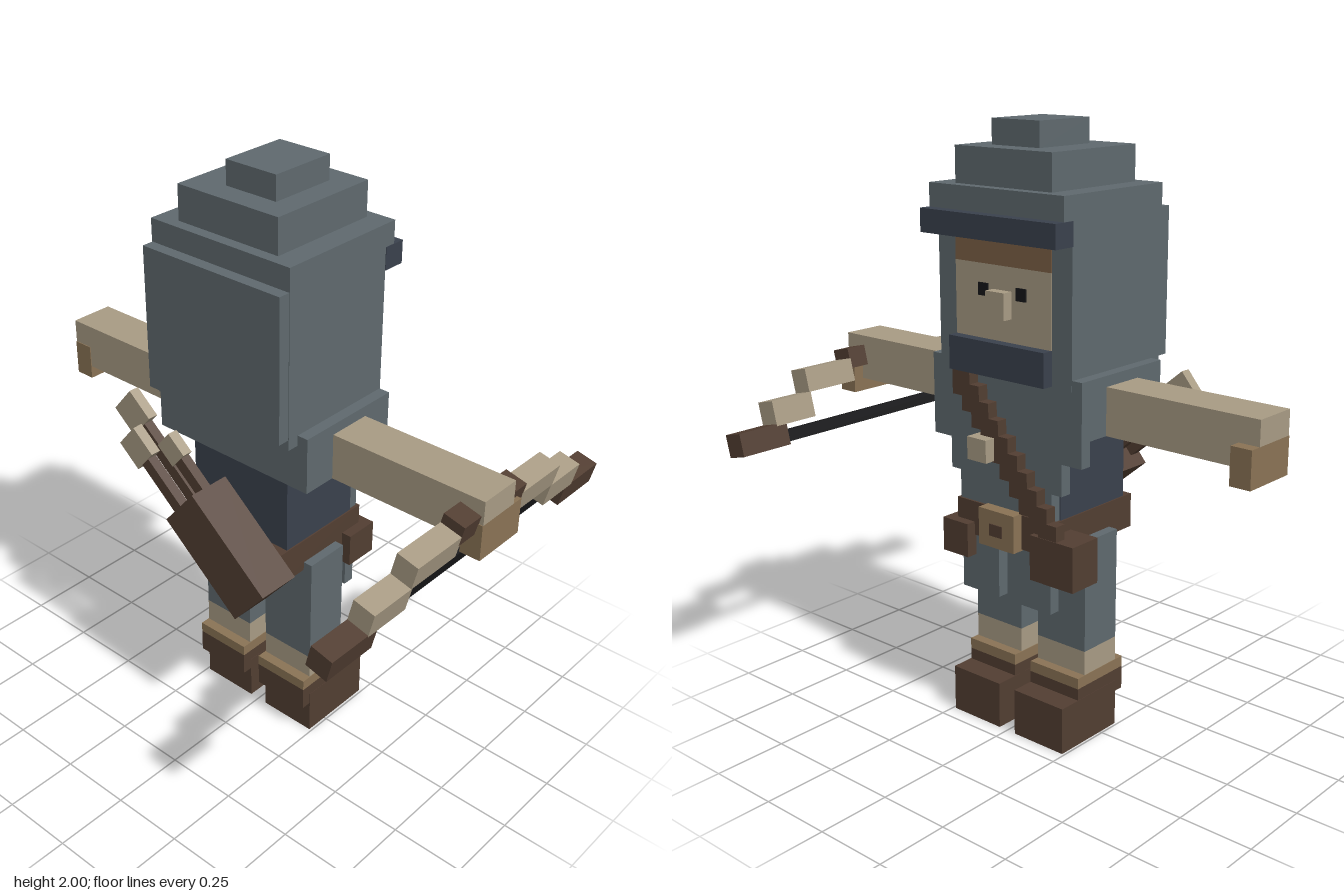
import * as THREE from 'three';

const mat = (name, color) => {
  const m = new THREE.MeshStandardMaterial({ color });
  m.name = name;
  return m;
};

export function createModel() {
  const model = new THREE.Group();
  model.name = 'hoodedArcher';
  const grey = mat('greyCloth', 0x5f696e);
  const navy = mat('navyCloth', 0x3a414d);
  const tan = mat('paleTan', 0xa89b84);
  const brown = mat('brownLeather', 0x523e32);
  const glove = mat('gloveLeather', 0x8a7355);
  const hair = mat('hairBrown', 0x7c6046);
  const black = mat('black', 0x161618);

  // Box given by its minimum and maximum on each axis
  const box = (name, m, x0, x1, y0, y1, z0, z1, parent = model) => {
    const mesh = new THREE.Mesh(new THREE.BoxGeometry(x1 - x0, y1 - y0, z1 - z0), m);
    mesh.position.set((x0 + x1) / 2, (y0 + y1) / 2, (z0 + z1) / 2);
    mesh.name = name;
    parent.add(mesh);
    return mesh;
  };
  // Same box on both sides of the body
  const pair = (name, m, x0, x1, ...r) => {
    box(name + 'Left', m, x0, x1, ...r);
    box(name + 'Right', m, -x1, -x0, ...r);
  };

  // Legs and boots
  pair('trouserLeg', grey, 0.037, 0.238, 0.32, 0.7, -0.08, 0.08);
  pair('sock', tan, 0.037, 0.238, 0.235, 0.32, -0.08, 0.08);
  pair('bootTrim', glove, 0.035, 0.24, 0.2, 0.237, -0.115, 0.115);
  pair('bootCuff', brown, 0.035, 0.24, 0.12, 0.2, -0.115, 0.115);
  pair('bootFoot', brown, 0.034, 0.241, 0, 0.16, -0.195, 0.08);

  // Torso, belt and tunic
  box('torso', navy, -0.2, 0.2, 0.68, 1.22, -0.158, 0.158);
  box('belt', brown, -0.205, 0.205, 0.67, 0.785, -0.202, 0.195);
  box('mantle', grey, -0.313, 0.31, 1.065, 1.255, -0.195, 0.195);
  box('tunicFlapUpper', grey, -0.313, 0.31, 0.985, 1.07, -0.195, -0.155);
  box('tunicFlapMiddle', grey, -0.235, 0.235, 0.88, 0.985, -0.195, -0.155);
  box('tunicFlapLower', grey, -0.195, 0.195, 0.7, 0.88, -0.195, -0.155);
  pair('tunicTail', grey, 0.03, 0.19, 0.475, 0.7, -0.195, -0.155);

  // Belt buckle and pouches
  box('buckle', glove, -0.075, 0.075, 0.665, 0.79, -0.24, -0.195);
  box('buckleHole', brown, -0.027, 0.027, 0.705, 0.745, -0.244, -0.239);
  box('pouchRight', brown, -0.315, -0.14, 0.595, 0.745, -0.236, -0.115);
  box('pouchLeft', brown, 0.13, 0.24, 0.6, 0.715, -0.236, -0.115);

  // Stepped chest strap with a small pocket
  const steps = 10;
  for (let i = 0; i < steps; i++) {
    const t = i / (steps - 1);
    const x = 0.15 - 0.36 * t, y = 1.19 - 0.44 * t;
    box('strapStep', brown, x - 0.037, x + 0.037, y - 0.045, y + 0.045, -0.234, -0.194);
  }
  box('strapPocket', tan, 0.01, 0.09, 0.955, 1.03, -0.272, -0.2);

  // Hood
  box('hood', grey, -0.275, 0.272, 1.22, 1.805, -0.197, 0.235);
  box('hoodFrontTop', grey, -0.275, 0.272, 1.73, 1.805, -0.235, -0.197);
  box('hoodBack', grey, -0.273, 0.27, 1.255, 1.73, 0.235, 0.275);
  box('hoodTier', grey, -0.197, 0.195, 1.805, 1.92, -0.197, 0.197);
  box('hoodPeak', grey, -0.08, 0.114, 1.92, 2, -0.118, 0.115);
  box('hoodBrim', navy, -0.277, 0.274, 1.655, 1.73, -0.275, -0.196);

  // Face
  box('face', tan, -0.197, 0.197, 1.255, 1.57, -0.2, -0.195);
  box('hair', hair, -0.197, 0.197, 1.57, 1.73, -0.2, -0.195);
  box('scarf', navy, -0.197, 0.197, 1.225, 1.335, -0.236, -0.196);
  box('nose', tan, -0.038, 0.038, 1.41, 1.495, -0.236, -0.197);
  pair('eye', black, 0.058, 0.098, 1.47, 1.51, -0.205, -0.199);

  // Arms and gloved hands
  pair('sleeve', tan, 0.3, 0.79, 1.065, 1.22, -0.078, 0.075);
  pair('cuff', tan, 0.79, 0.861, 1.14, 1.22, -0.078, 0.075);
  pair('hand', glove, 0.79, 0.861, 1.02, 1.14, -0.118, 0.078);

  // Tilted bow, built from one corner of its lower edge
  const bow = new THREE.Group();
  bow.name = 'bow';
  bow.position.set(0.714, 0.925, 0);
  bow.rotation.z = -0.243;
  model.add(bow);
  box('bowGrip', brown, 0, 0.076, 0.2, 0.27, -0.155, 0.155, bow);
  box('bowString', black, 0.002, 0.03, 0.01, 0.05, -0.48, 0.48, bow);
  for (const s of [-1, 1]) {
    const limb = (name, m, v0, v1, a, b) =>
      box(name, m, 0, 0.076, v0, v1, Math.min(s * a, s * b), Math.max(s * a, s * b), bow);
    limb('bowTip', brown, 0, 0.077, 0.475, 0.667);
    limb('bowLimbOuter', tan, 0.07, 0.155, 0.35, 0.515);
    limb('bowLimbInner', tan, 0.155, 0.235, 0.15, 0.355);
  }

  // Quiver with arrows, slung diagonally behind
  const quiver = new THREE.Group();
  quiver.name = 'quiver';
  quiver.position.set(0.06, 0.79, 0.272);
  quiver.rotation.z = 0.873;
  model.add(quiver);
  box('quiverCase', brown, -0.094, 0.094, -0.194, 0.194, -0.075, 0.076, quiver);
  const arrow = (x, z, top, size, length) => {
    box('arrowShaft', brown, x - 0.022, x + 0.022, 0.19, top - length, z - 0.017, z + 0.017, quiver);
    box('arrowFletching', tan, x - size, x + size, top - length, top, z - 0.018, z + 0.018, quiver);
  };
  arrow(0, 0, 0.59, 0.058, 0.11);
  arrow(-0.03, 0.045, 0.485, 0.053, 0.105);
  arrow(0.06, 0.002, 0.4, 0.04, 0.085);

  return model;
}
